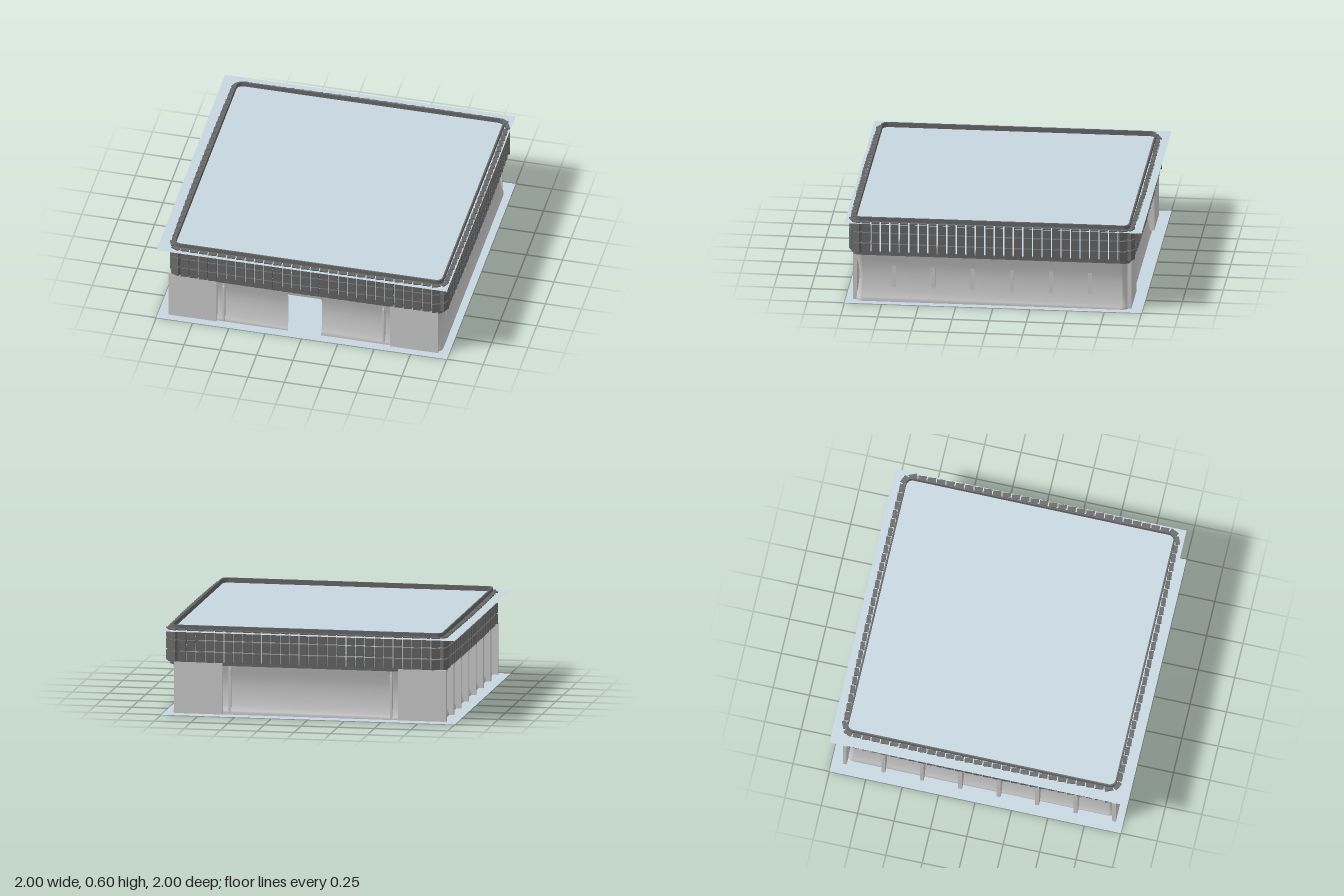
import * as THREE from 'three';
import { mergeGeometries } from 'three/addons/utils/BufferGeometryUtils.js';

const CX = 0.027, CZ = 0.014; // the hall sits slightly off the centre of its plot
const wallMat = new THREE.MeshStandardMaterial({ color: 0xcccccc, side: THREE.DoubleSide });
const darkMat = new THREE.MeshStandardMaterial({ color: 0x686868 });
const slabMat = new THREE.MeshStandardMaterial({ color: 0xc6d6e0, side: THREE.DoubleSide });

function add(group, name, geometry, material) {
  const mesh = new THREE.Mesh(geometry, material);
  mesh.name = name;
  group.add(mesh);
  return mesh;
}

function box(w, h, d, x, y, z) {
  return new THREE.BoxGeometry(w, h, d).translate(x, y, z);
}

// Rounded square outline with half size h and corner radius r
function outline(h, r, PathType = THREE.Shape) {
  const p = new PathType();
  const c = h - r;
  p.moveTo(-c, -h);
  p.lineTo(c, -h);
  p.absarc(c, -c, r, -Math.PI / 2, 0);
  p.lineTo(h, c);
  p.absarc(c, c, r, 0, Math.PI / 2);
  p.lineTo(-c, h);
  p.absarc(-c, c, r, Math.PI / 2, Math.PI);
  p.lineTo(-h, -c);
  p.absarc(-c, -c, r, Math.PI, Math.PI * 1.5);
  return p;
}

// Flat frame between two rounded squares, from y0 to y1
function frame(outer, inner, y0, y1) {
  const s = outline(outer, 0.045);
  s.holes.push(outline(inner, 0.04, THREE.Path));
  const g = new THREE.ExtrudeGeometry(s, { depth: y1 - y0, bevelEnabled: false, curveSegments: 5 });
  return g.rotateX(-Math.PI / 2).translate(CX, y0, CZ);
}

// Concave wall shell: rounded square swept up a profile of [y, inset], with a doorway at the front
function shellGeometry() {
  const profile = [[0, 0], [0.02, 0], [0.03, 0.008], [0.08, 0.019], [0.14, 0.026], [0.19, 0.027],
    [0.24, 0.023], [0.295, 0.01], [0.335, 0]];
  const h = 0.922, r = 0.05, c = h - r;
  const pts = []; // corner centre and outward direction of each perimeter point
  [[1, 1], [1, -1], [-1, -1], [-1, 1]].forEach(([sx, sz], k) => {
    for (let i = 0; i <= 6; i++) {
      const a = -k * Math.PI / 2 + (1 - i / 6) * Math.PI / 2;
      pts.push([sx * c, sz * c, Math.cos(a), Math.sin(a)]);
    }
  });
  const doorStart = pts.length;
  pts.push([-0.11 - CX, c, 0, 1], [0.12 - CX, c, 0, 1], pts[0]);
  const n = pts.length, pos = [], index = [];
  for (const [y, inset] of profile)
    for (const [x, z, dx, dz] of pts)
      pos.push(CX + x + dx * (r - inset), y, CZ + z + dz * (r - inset));
  for (let j = 0; j < profile.length - 1; j++)
    for (let i = 0; i < n - 1; i++) {
      if (i === doorStart && profile[j + 1][0] < 0.3) continue;
      const a = j * n + i, b = a + 1;
      index.push(a, a + n, b, b, a + n, b + n);
    }
  const g = new THREE.BufferGeometry();
  g.setAttribute('position', new THREE.Float32BufferAttribute(pos, 3));
  g.setIndex(index);
  g.computeVertexNormals();
  return g;
}

// Three tiers of slightly turned cladding blocks around a gently bowed outline
function claddingGeometry() {
  const count = 116, half = 0.94;
  const path = outline(half, 0.055).getSpacedPoints(count).slice(0, count);
  const bowed = path.map(({ x, y }) => new THREE.Vector2(
    x * (1 + 0.011 * (1 - (y / half) ** 2)), y * (1 + 0.011 * (1 - (x / half) ** 2))));
  const blocks = [];
  bowed.forEach((p, i) => {
    const next = bowed[(i + 1) % count], prev = bowed[(i + count - 1) % count];
    const angle = Math.atan2(next.y - prev.y, next.x - prev.x);
    for (const y of [0.389, 0.465, 0.541]) {
      const g = new THREE.BoxGeometry(0.056, 0.068, 0.03);
      g.rotateY(-angle + 0.1);
      blocks.push(g.translate(CX + 0.003 + p.x, y, CZ + p.y));
    }
  });
  return mergeGeometries(blocks);
}

export function createModel() {
  const model = new THREE.Group();
  model.name = 'hall';

  // Ground and roof sheets
  for (const [name, y] of [['ground', 0], ['roof', 0.567]])
    add(model, name, new THREE.PlaneGeometry(2, 2).rotateX(-Math.PI / 2).translate(0, y, 0), slabMat);

  // Walls
  add(model, 'concaveWalls', shellGeometry(), wallMat);

  // Cross walls on both sides; the first pair forms the flat front panels
  const fins = [];
  for (const s of [-1, 1])
    for (let i = 0; i < 8; i++)
      fins.push(box(0.33, 0.35, 0.026, s * 0.763, 0.177, 0.937 - i * 0.264));
  add(model, 'crossWalls', mergeGeometries(fins), wallMat);

  // Slender posts with lamps, front and back
  const posts = [], lamps = [];
  for (const x of [-0.55, 0.55])
    for (const s of [-1, 1]) {
      const z = CZ + s * 0.912;
      posts.push(box(0.014, 0.33, 0.03, x, 0.167, z));
      lamps.push(box(0.014, 0.035, 0.03, x, 0.285, z + s * 0.012));
    }
  add(model, 'posts', mergeGeometries(posts), wallMat);
  add(model, 'lamps', mergeGeometries(lamps), wallMat);

  // Upper band
  add(model, 'claddingBlocks', claddingGeometry(), darkMat);
  add(model, 'parapet', frame(0.927, 0.917, 0.565, 0.6), darkMat);
  add(model, 'lowerRim', frame(0.935, 0.912, 0.333, 0.353), darkMat);

  return model;
}
